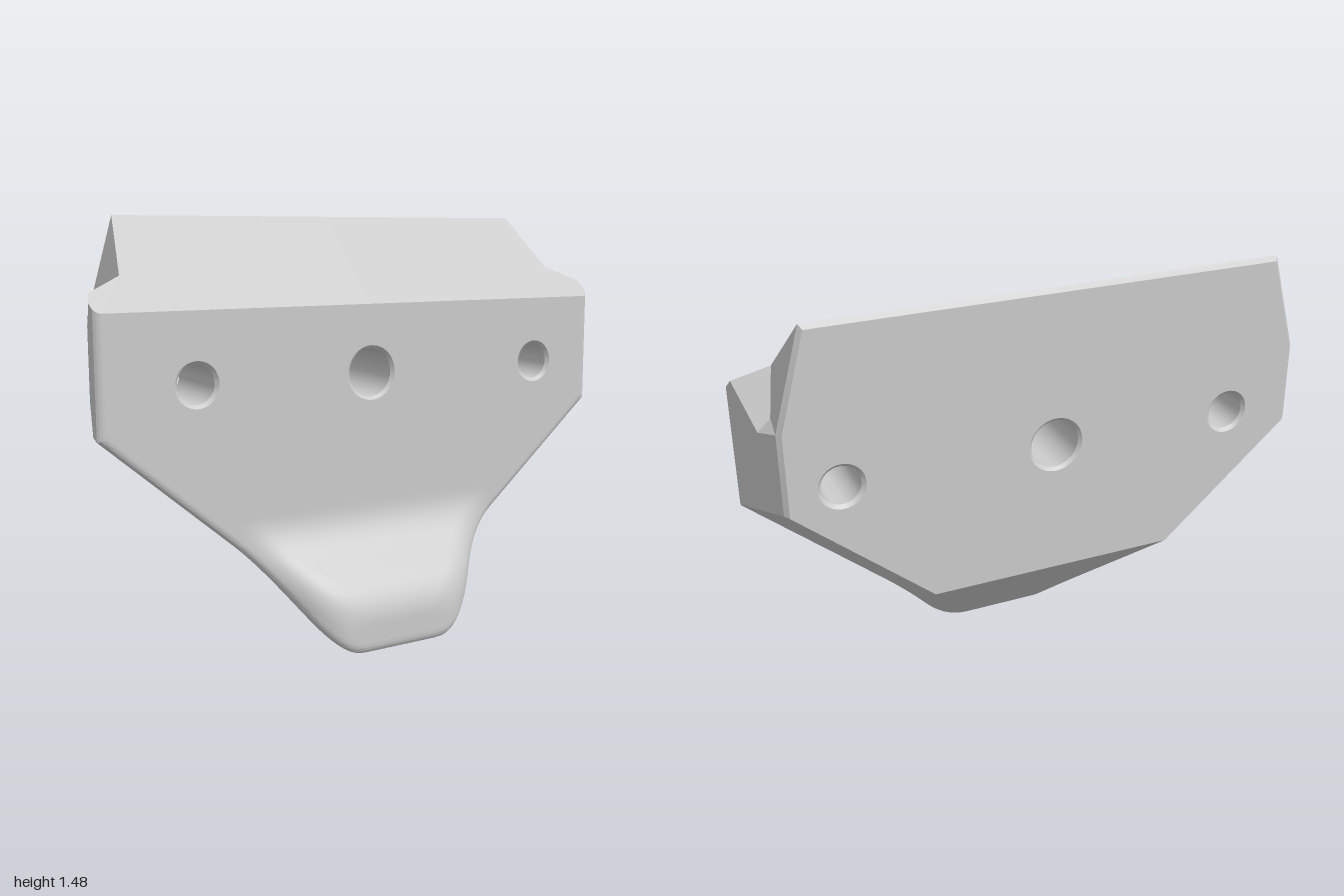
import * as THREE from 'three';
import { toCreasedNormals } from 'three/addons/utils/BufferGeometryUtils.js';

const FRONT = 0.055, BACK = -0.26, BASE = 0.464, ROUND = 0.03, PLATE_Y = 0.8;
const HOLES = [[-0.66, 0.066, 0.078], [0, 0.085, 0.096], [0.73, 0.066, 0.078]];
const HOLE_Y = 0.935;

// Blended minimum and maximum
const smin = (a, b, k) => {
  const h = Math.max(k - Math.abs(a - b), 0);
  return Math.min(a, b) - (k ? h * h / (4 * k) : 0);
};
const smax = (a, b, k) => -smin(-a, -b, k);

// Height of the sloping underside: a middle plane and two side planes
function underside(x, z) {
  const d = z - BACK;
  return smax(BASE - 0.911 * d, BASE + 0.86 * (Math.abs(x) - 0.44) - 0.545 * d, 0.14 * Math.max(d, 0));
}

// Front surface: flat plate, lip swelling out at the bottom, rounded rim
function frontZ(x, y) {
  const s = smin(0.46 - Math.abs(x), 0.385 - y, 0.08);
  const z = FRONT + smin(smax(s, 0, 0.08), 0.205, 0.08);
  const d = Math.max(0, Math.min(1 - Math.abs(x), 0.75 * (y - underside(x, z)), ROUND));
  return z - ROUND + Math.sqrt(ROUND ** 2 - (ROUND - d) ** 2);
}

// Where the front surface meets the underside
function bottomY(x) {
  let lo = -0.1, hi = PLATE_Y;
  for (let i = 0; i < 40; i++) {
    const m = (lo + hi) / 2;
    if (m < underside(x, frontZ(x, m))) lo = m; else hi = m;
  }
  return hi;
}

// Flat face with the bolt holes cut out
function plate(points, z, faceBack) {
  const shape = new THREE.Shape(points.map(p => new THREE.Vector2(p[0], p[1])));
  for (const [x, , R] of HOLES) {
    const hole = new THREE.Path();
    hole.absarc(x, HOLE_Y, R, 0, Math.PI * 2, true);
    shape.holes.push(hole);
  }
  const g = new THREE.ShapeGeometry(shape, 24);
  if (faceBack) {
    const idx = g.index.array;
    for (let i = 0; i < idx.length; i += 3) [idx[i], idx[i + 1]] = [idx[i + 1], idx[i]];
    g.computeVertexNormals();
  }
  return g.translate(0, 0, z);
}

export function createModel() {
  const group = new THREE.Group();
  const material = new THREE.MeshStandardMaterial({ color: 0xcccccc });
  const add = (name, geometry, mat = material) => {
    const mesh = new THREE.Mesh(geometry, mat);
    mesh.name = name;
    group.add(mesh);
    return mesh;
  };
  const build = (name, pos) => {
    const g = new THREE.BufferGeometry();
    g.setAttribute('position', new THREE.Float32BufferAttribute(pos, 3));
    add(name, toCreasedNormals(g, 0.4));
  };

  // Columns across the width, denser at the rounded sides
  let xe = 0.23;
  for (let i = 0; i < 8; i++) xe = 0.44 - 0.4256 * (frontZ(xe, bottomY(xe)) - BACK);
  const half = [];
  const span = (a, b, n) => { for (let i = 1; i <= n; i++) half.push(a + (b - a) * i / n); };
  span(0, xe, 16);
  span(xe, 0.97, 40);
  span(0.97, 1, 6);
  const xs = [...half.map(x => -x).reverse(), 0, ...half];

  // Underside, lip and lower front, as one loft of columns
  const ROWS = 48;
  const columns = xs.map(x => {
    const a = Math.abs(x), y0 = bottomY(x);
    const bx = a <= xe ? a * 0.44 / xe : 0.44 + (a - xe) / (1 - xe) * 0.46;
    const col = [[Math.sign(x) * bx, BASE + 0.86 * Math.max(0, bx - 0.44), BACK]];
    for (let j = 0; j <= ROWS; j++) {
      const y = y0 + (PLATE_Y - y0) * (j / ROWS) ** 2;
      col.push([x, y, frontZ(x, y)]);
    }
    // Rounded side edge runs on up to the sloping top
    if (a > 0.9699) {
      const z = frontZ(x, PLATE_Y);
      col.push([x, 1.23 - z, z]);
    }
    return col;
  });
  const skin = [];
  for (let i = 0; i + 1 < columns.length; i++) {
    const p = columns[i], q = columns[i + 1];
    for (let j = 0; j + 1 < Math.min(p.length, q.length); j++) {
      skin.push(...p[j], ...q[j], ...q[j + 1], ...p[j], ...q[j + 1], ...p[j + 1]);
    }
  }
  build('lowerBodyAndLip', skin);

  // Flat faces, fanned from their first corner and mirrored
  const faces = [];
  const fan = (...pts) => {
    const m = ([x, y, z]) => [-x, y, z];
    for (let i = 1; i + 1 < pts.length; i++) {
      const [a, b, c] = [pts[0], pts[i], pts[i + 1]];
      faces.push(...a, ...b, ...c, ...m(a), ...m(c), ...m(b));
    }
  };
  const yG = BASE + 0.86 * 0.46;
  const A = [0.99, 1.235, -0.005], B = [0.87, 1.285, -0.055], C = [0.82, 1.475, -0.245];
  const D = [0.905, 1.15, -0.14], E = [0.948, 1.11, -0.14], F = [0.915, 1.14, -0.245];
  const G = [0.915, yG + 0.005, -0.245], G2 = [0.9, yG, BACK];
  const F2 = [0.9, 1.14, BACK], C2 = [0.81, 1.46, BACK];
  const rim = columns.filter((c, i) => xs[i] > 0.9699).map(c => c[c.length - 1]);
  const K = columns[columns.length - 1][1];

  fan(B, C, [0, 1.475, -0.245], [0, 1.175, FRONT], ...rim, A); // sloping top
  fan(E, A, rim[rim.length - 1], K, G, F);                     // side
  fan(K, G2, G);
  fan(B, D, F, C);                                             // corner notch
  fan(D, E, F);
  fan(A, E, D, B);
  fan(G, G2, F2, F);                                           // back bevel
  fan(F, F2, C2, C);
  fan(C, C2, [0, 1.46, BACK], [0, 1.475, -0.245]);
  build('topAndSides', faces);

  // Front and back plates
  add('frontPlate', plate([[-0.97, PLATE_Y], [0.97, PLATE_Y], [0.97, 1.175], [-0.97, 1.175]], FRONT, false));
  const right = [[0.44, BASE], G2, F2, C2];
  const left = right.map(p => [-p[0], p[1]]).reverse();
  add('backPlate', plate([...right, ...left], BACK, true));

  // Bevelled bolt holes
  const lining = new THREE.MeshStandardMaterial({ color: 0xcccccc, side: THREE.DoubleSide });
  for (const [x, r, R] of HOLES) {
    const bevel = R - r;
    const profile = [[R, BACK], [r, BACK + bevel], [r, FRONT - bevel], [R, FRONT]];
    const g = new THREE.LatheGeometry(profile.map(p => new THREE.Vector2(...p)), 48);
    const hole = add('boltHole', toCreasedNormals(g.rotateX(Math.PI / 2), 0.4), lining);
    hole.position.set(x, HOLE_Y, 0);
  }
  return group;
}
